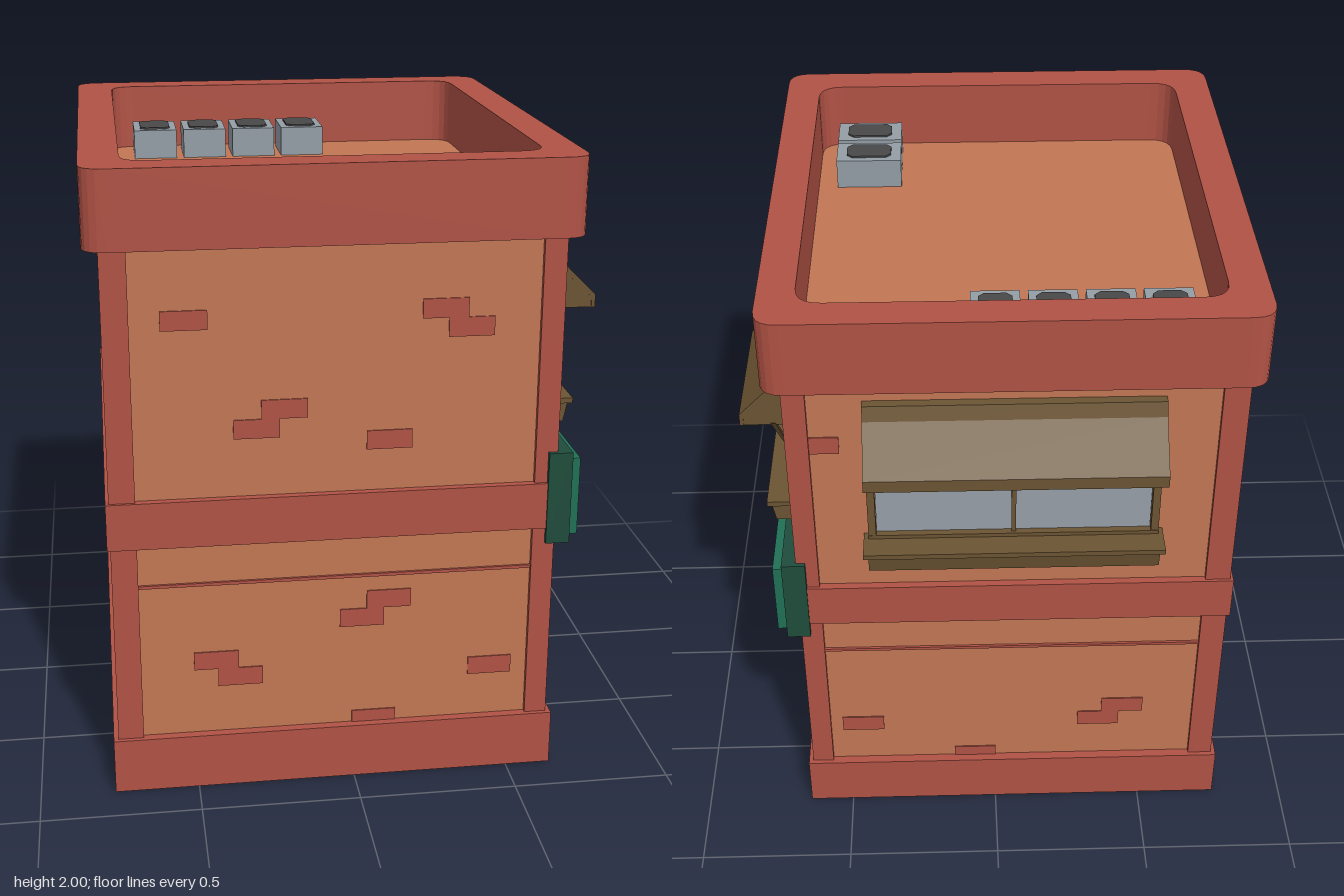
import * as THREE from 'three';

const mat = (name, color, side = THREE.FrontSide) => {
  const m = new THREE.MeshStandardMaterial({ color, side });
  m.name = name;
  return m;
};

export function createModel() {
  const red = mat('red brick', 0xb05245);
  const orange = mat('orange wall', 0xc27653, THREE.DoubleSide);
  const brown = mat('brown wood', 0x6b5433);
  const darkBrown = mat('dark brown', 0x453520);
  const glass = mat('glass', 0x979fa8);
  const green = mat('green', 0x207055);
  const darkGreen = mat('dark green', 0x1f4c3c);
  const grey = mat('grey metal', 0x949ea6);
  const dark = mat('dark grille', 0x484848);

  const model = new THREE.Group();
  model.name = 'cornerShop';

  const add = (name, geo, material, parent = model) => {
    const m = new THREE.Mesh(geo, material);
    m.name = name;
    parent.add(m);
    return m;
  };
  const box = (name, material, x0, x1, y0, y1, z0, z1, parent = model) => {
    const m = add(name, new THREE.BoxGeometry(x1 - x0, y1 - y0, z1 - z0), material, parent);
    m.position.set((x0 + x1) / 2, (y0 + y1) / 2, (z0 + z1) / 2);
    return m;
  };
  // Vertical prism from a plan shape drawn in (x, -z)
  const prism = (shape, y0, y1) =>
    new THREE.ExtrudeGeometry(shape, { depth: y1 - y0, bevelEnabled: false, curveSegments: 5 })
      .rotateX(-Math.PI / 2).translate(0, y0, 0);
  // Mitred offset of a closed counter-clockwise outline (positive is outward)
  const offset = (pts, d) => pts.map((p, i) => {
    const a = pts[(i + pts.length - 1) % pts.length], b = pts[(i + 1) % pts.length];
    const u = p.clone().sub(a).normalize(), v = b.clone().sub(p).normalize();
    const n = new THREE.Vector2(u.y + v.y, -u.x - v.x).normalize();
    return p.clone().addScaledVector(n, d / (n.x * u.y - n.y * u.x));
  });
  const ring = (name, material, pts, out, inn, y0, y1) => {
    const s = new THREE.Shape(offset(pts, out));
    s.holes.push(new THREE.Path(offset(pts, inn)));
    return add(name, prism(s, y0, y1), material);
  };
  const plan = list => list.map(([x, z]) => new THREE.Vector2(x, -z));

  // Plans: plain upper storey, and ground floor with a splayed entrance
  const X0 = -0.735, X1 = 0.615, Z0 = -0.72, Z1 = 0.835, DOOR = 0.43, DZ = 0.06;
  const upper = plan([[X0, Z1], [X1, Z1], [X1, Z0], [X0, Z0]]);
  const lower = plan([[X0, Z1], [X1, Z1], [X1, DZ + 0.275], [DOOR, DZ + 0.18],
    [DOOR, DZ - 0.18], [X1, DZ - 0.275], [X1, Z0], [X0, Z0]]);

  // Walls and bands
  ring('groundFloorWall', orange, lower, 0, -0.02, 0.01, 0.83);
  ring('upperWall', orange, upper, 0, -0.02, 0.83, 1.77);
  ring('base', red, lower, 0.03, -0.01, 0, 0.18);
  ring('wallTrim', red, lower, 0.008, -0.01, 0.69, 0.7);
  ring('middleBand', red, upper, 0.025, -0.03, 0.83, 0.98);
  box('entranceCeiling', orange, 0.42, X1, 0.78, 0.83, -0.22, 0.34);
  box('roof', orange, X0 + 0.01, X1 - 0.01, 1.762, 1.78, Z0 + 0.01, Z1 - 0.01);

  // Corner posts
  for (const [x0, x1] of [[-0.75, -0.67], [0.56, 0.63]])
    for (const [z0, z1] of [[-0.735, -0.67], [0.785, 0.85]])
      box('cornerPost', red, x0, x1, 0.02, 1.765, z0, z1);

  // Rounded parapet
  const rounded = (C, x0, x1, z0, z1, r) => {
    const s = new C(), a = -z1, b = -z0;
    s.moveTo(x0 + r, a).lineTo(x1 - r, a);
    s.quadraticCurveTo(x1, a, x1, a + r).lineTo(x1, b - r);
    s.quadraticCurveTo(x1, b, x1 - r, b).lineTo(x0 + r, b);
    s.quadraticCurveTo(x0, b, x0, b - r).lineTo(x0, a + r);
    s.quadraticCurveTo(x0, a, x0 + r, a);
    return s;
  };
  const rim = rounded(THREE.Shape, -0.797, 0.688, -0.787, 0.88, 0.075);
  rim.holes.push(rounded(THREE.Path, -0.677, 0.575, -0.673, 0.765, 0.08));
  add('parapet', prism(rim, 1.76, 2), red);

  // Scattered bricks: [along wall, height]
  const frontBricks = [[-0.51, 1.54], [0.27, 1.55], [0.35, 1.49], [-0.215, 1.255], [-0.3, 1.195],
    [0.105, 1.143], [0.11, 0.61], [0.025, 0.55], [-0.435, 0.43], [-0.36, 0.37], [0.44, 0.355], [0.065, 0.19]];
  const sideBricks = [[0.155, 1.7], [0.077, 1.64], [0.7, 1.505], [-0.615, 1.243], [-0.01, 1.14],
    [0.545, 0.64], [0.465, 0.577], [0.66, 0.275], [-0.505, 0.492]];
  const backBricks = [[0.54, 1.53], [-0.12, 1.1], [0.45, 0.345], [-0.43, 0.41], [-0.35, 0.35], [0.07, 0.19]];
  const T = 0.004;
  for (const [x, y] of frontBricks) box('brick', red, x - 0.07, x + 0.07, y - 0.03, y + 0.03, Z1 - T, Z1 + T);
  for (const [x, y] of backBricks) box('brick', red, x - 0.07, x + 0.07, y - 0.03, y + 0.03, Z0 - T, Z0 + T);
  for (const [z, y] of sideBricks) box('brick', red, X1 - T, X1 + T, y - 0.03, y + 0.03, z - 0.063, z + 0.063);

  // Sign board
  box('signFrame', darkGreen, 0.6, 0.675, 0.78, 1.08, -0.75, 0.865);
  box('signPanel', green, 0.67, 0.705, 0.8, 1.053, -0.73, 0.843);

  // Entrance posts
  for (const s of [-1, 1]) {
    const edge = DZ + s * 0.285, jamb = DZ + s * 0.172;
    box('entrancePost', red, 0.6, 0.623, 0.15, 0.79, edge - 0.012, edge + 0.012);
    box('doorPost', red, 0.42, 0.462, 0.09, 0.79, jamb - 0.012, jamb + 0.012);
  }

  // Double door
  box('doorFrame', brown, 0.42, 0.462, 0.09, 0.69, DZ - 0.16, DZ + 0.16);
  for (const s of [-1, 1]) {
    const c = DZ + s * 0.084;
    box('doorGlass', glass, 0.455, 0.466, 0.36, 0.672, c - 0.069, c + 0.069);
    box('doorPanelEdge', darkBrown, 0.455, 0.466, 0.105, 0.322, c - 0.07, c + 0.07);
    box('doorPanel', brown, 0.455, 0.472, 0.125, 0.31, c - 0.056, c + 0.056);
    box('doorHandle', darkBrown, 0.455, 0.48, 0.31, 0.37, DZ + s * 0.012 - 0.006, DZ + s * 0.012 + 0.006);
  }

  // Profile in (outward, height) extruded along the wall
  const profile = (pts, x0, x1) => {
    const s = new THREE.Shape(pts.map(p => new THREE.Vector2(...p)));
    return new THREE.ExtrudeGeometry(s, { depth: x1 - x0, bevelEnabled: false })
      .rotateY(-Math.PI / 2).translate(x1, 0, 0);
  };
  // Window with awning and planter, facing local +z
  const windowUnit = (name, w) => {
    const g = new THREE.Group(), h = w / 2;
    g.name = name;
    model.add(g);
    const gl = h - 0.025;
    box('windowGlass', glass, -gl, gl, 1.2, 1.62, 0, 0.008, g);
    box('windowHead', brown, -h, h, 1.62, 1.68, 0, 0.028, g);
    box('windowSill', brown, -h, h, 1.18, 1.2, 0, 0.03, g);
    box('windowMullion', brown, -0.007, 0.007, 1.2, 1.62, 0, 0.02, g);
    box('windowBar', brown, -gl, gl, 1.41, 1.424, 0, 0.018, g);
    box('planterLip', brown, -h - 0.015, h + 0.015, 1.17, 1.187, 0, 0.11, g);
    add('planter', profile([[0, 1.105], [0.085, 1.105], [0.098, 1.17], [0, 1.17]], -h, h), brown, g);
    add('awning', profile([[0, 1.69], [0, 1.675], [0.022, 1.675], [0.035, 1.63], [0.158, 1.512], [0.158, 1.48],
      [0.17, 1.48], [0.17, 1.52], [0.045, 1.645], [0.03, 1.69]], -h, h), brown, g);
    for (const s of [-1, 1]) {
      const e = s * (h - 0.008), f = s * (h - 0.012);
      box('windowJamb', brown, f - 0.012, f + 0.012, 1.18, 1.64, 0, 0.028, g);
      add('awningCheek', profile([[0, 1.48], [0.16, 1.48], [0.16, 1.515], [0.037, 1.635], [0.025, 1.68], [0, 1.68]],
        e - 0.005, e + 0.005), brown, g);
      add('awningStrut', profile([[0.02, 1.395], [0.03, 1.395], [0.075, 1.485], [0.06, 1.485]],
        e - 0.007, e + 0.007), darkBrown, g);
    }
    return g;
  };
  for (const z of [0.41, -0.308]) {
    const g = windowUnit('sideWindow', 0.472);
    g.position.set(X1, 0, z);
    g.rotation.y = Math.PI / 2;
  }
  const backWindow = windowUnit('backWindow', 0.9);
  backWindow.position.set(-0.055, 0, Z0);
  backWindow.rotation.y = Math.PI;

  // Rooftop cooling units
  const cooler = (x, z, w, d, vw, vd) => {
    box('coolingUnit', grey, x - w / 2, x + w / 2, 1.78, 1.88, z - d / 2, z + d / 2);
    const a = vw / 2, b = vd / 2, c = 0.018;
    const grille = plan([[-a + c, b], [a - c, b], [a, b - c], [a, c - b], [a - c, -b], [c - a, -b], [-a, c - b], [-a, b - c]]);
    add('coolingGrille', prism(new THREE.Shape(grille), 1.878, 1.886), dark).position.set(x, 0, z);
  };
  for (let i = 0; i < 4; i++) cooler(-0.53 + i * 0.175, -0.523, 0.15, 0.196, 0.104, 0.15);
  for (const z of [0.5, 0.657]) cooler(0.4, z, 0.22, 0.134, 0.152, 0.088);

  return model;
}
